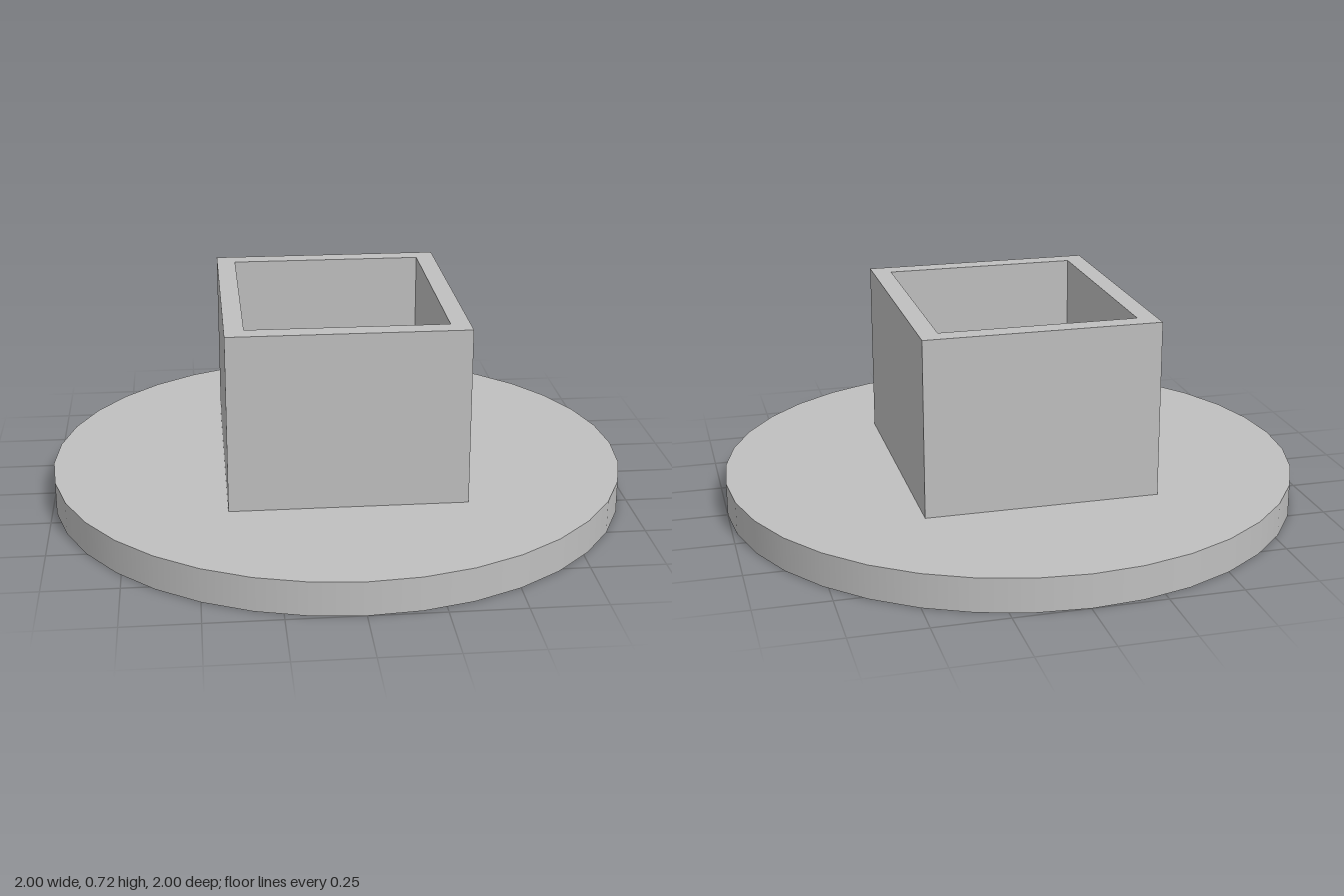
import * as THREE from 'three';

const BASE_H = 0.115, TOP = 0.72;

// Rectangle outline centred on the origin
function rect(path, hx, hz) {
  path.moveTo(-hx, -hz);
  path.lineTo(hx, -hz);
  path.lineTo(hx, hz);
  path.lineTo(-hx, hz);
  path.closePath();
  return path;
}

export function createModel() {
  const group = new THREE.Group();
  const grey = new THREE.MeshStandardMaterial({ color: 0xbfbfbf });
  grey.name = 'light grey';

  // Round base plate
  const base = new THREE.Mesh(new THREE.CylinderGeometry(1, 1, BASE_H, 36), grey);
  base.name = 'basePlate';
  base.position.y = BASE_H / 2;
  group.add(base);

  // Open rectangular socket standing on the plate
  const outline = rect(new THREE.Shape(), 0.4, 0.463);
  outline.holes.push(rect(new THREE.Path(), 0.335, 0.395));
  const geometry = new THREE.ExtrudeGeometry(outline, { depth: TOP - BASE_H, bevelEnabled: false });
  geometry.rotateX(-Math.PI / 2);
  const socket = new THREE.Mesh(geometry, grey);
  socket.name = 'socketWalls';
  socket.position.y = BASE_H;
  group.add(socket);

  return group;
}
